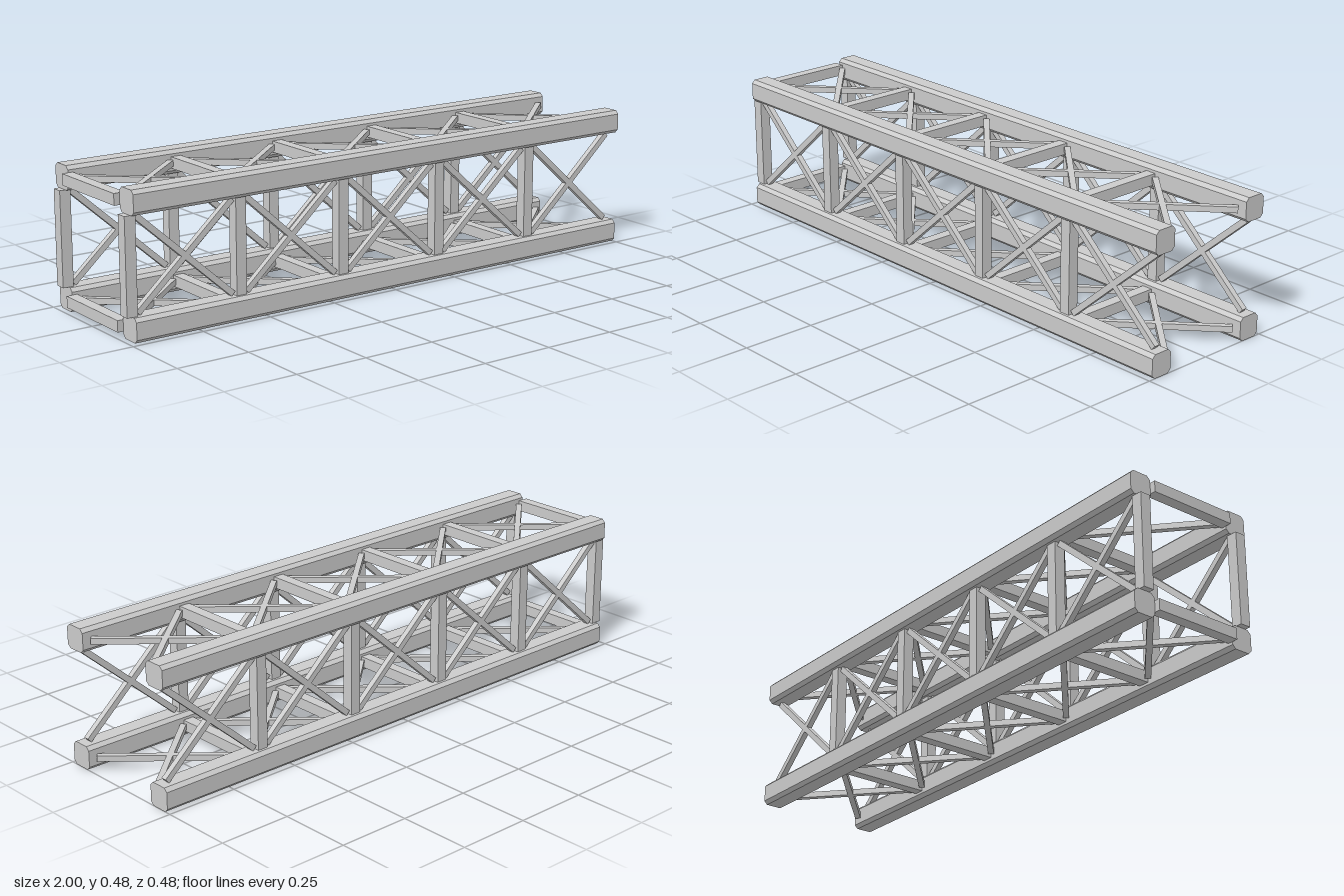
import * as THREE from 'three';

const material = new THREE.MeshStandardMaterial({ color: 0xcccccc, flatShading: true });
const MID_Y = 0.239;      // height of the truss axis
const OFFSET = 0.199;     // axis to chord centre
const CHORD = 0.08;       // chord width
const POST = 0.038;       // post width
const BAY = 0.396;        // bay length
const START = -0.981;     // first post centre
const CLEAR = 2 * OFFSET - CHORD;

function addMesh(parent, name, geometry) {
  const mesh = new THREE.Mesh(geometry, material);
  mesh.name = name;
  parent.add(mesh);
  return mesh;
}

// Square bar with chamfered edges, running along x
function chordGeometry() {
  const h = CHORD / 2, k = h - 0.012;
  const shape = new THREE.Shape([
    [h, -k], [h, k], [k, h], [-k, h], [-h, k], [-h, -k], [-k, -h], [k, -h],
  ].map(([x, y]) => new THREE.Vector2(x, y)));
  const geometry = new THREE.ExtrudeGeometry(shape, { depth: 1.98, bevelEnabled: false });
  return geometry.rotateY(Math.PI / 2).translate(-0.98, 0, 0);
}

// One lattice side: posts and crossed braces in the xy plane
function createSide() {
  const side = new THREE.Group();
  const post = new THREE.BoxGeometry(POST, CLEAR, POST);
  const clearBay = BAY - POST;
  const angle = Math.atan2(CLEAR, clearBay);
  const brace = new THREE.BoxGeometry(Math.hypot(clearBay, CLEAR) - 0.018, 0.02, 0.02);
  for (let i = 0; i < 5; i++) {
    const x = START + i * BAY;
    addMesh(side, 'post', post).position.x = x;
    for (const s of [-1, 1]) {
      const diagonal = addMesh(side, 'diagonalBrace', brace);
      diagonal.position.x = x + BAY / 2;
      diagonal.rotation.z = s * angle;
    }
  }
  return side;
}

export function createModel() {
  const model = new THREE.Group();
  model.name = 'boxTruss';
  const truss = new THREE.Group();
  truss.name = 'trussFrame';
  truss.position.y = MID_Y;
  model.add(truss);

  // Four corner chords
  const chord = chordGeometry();
  for (const y of [-1, 1]) {
    for (const z of [-1, 1]) {
      addMesh(truss, 'cornerChord', chord).position.set(0, y * OFFSET, z * OFFSET);
    }
  }

  // Four lattice sides around the x axis
  ['frontLattice', 'bottomLattice', 'backLattice', 'topLattice'].forEach((name, i) => {
    const turn = new THREE.Group();
    turn.name = name;
    turn.rotation.x = i * Math.PI / 2;
    const side = createSide();
    side.name = name + 'Bars';
    side.position.z = OFFSET;
    turn.add(side);
    truss.add(turn);
  });
  return model;
}
